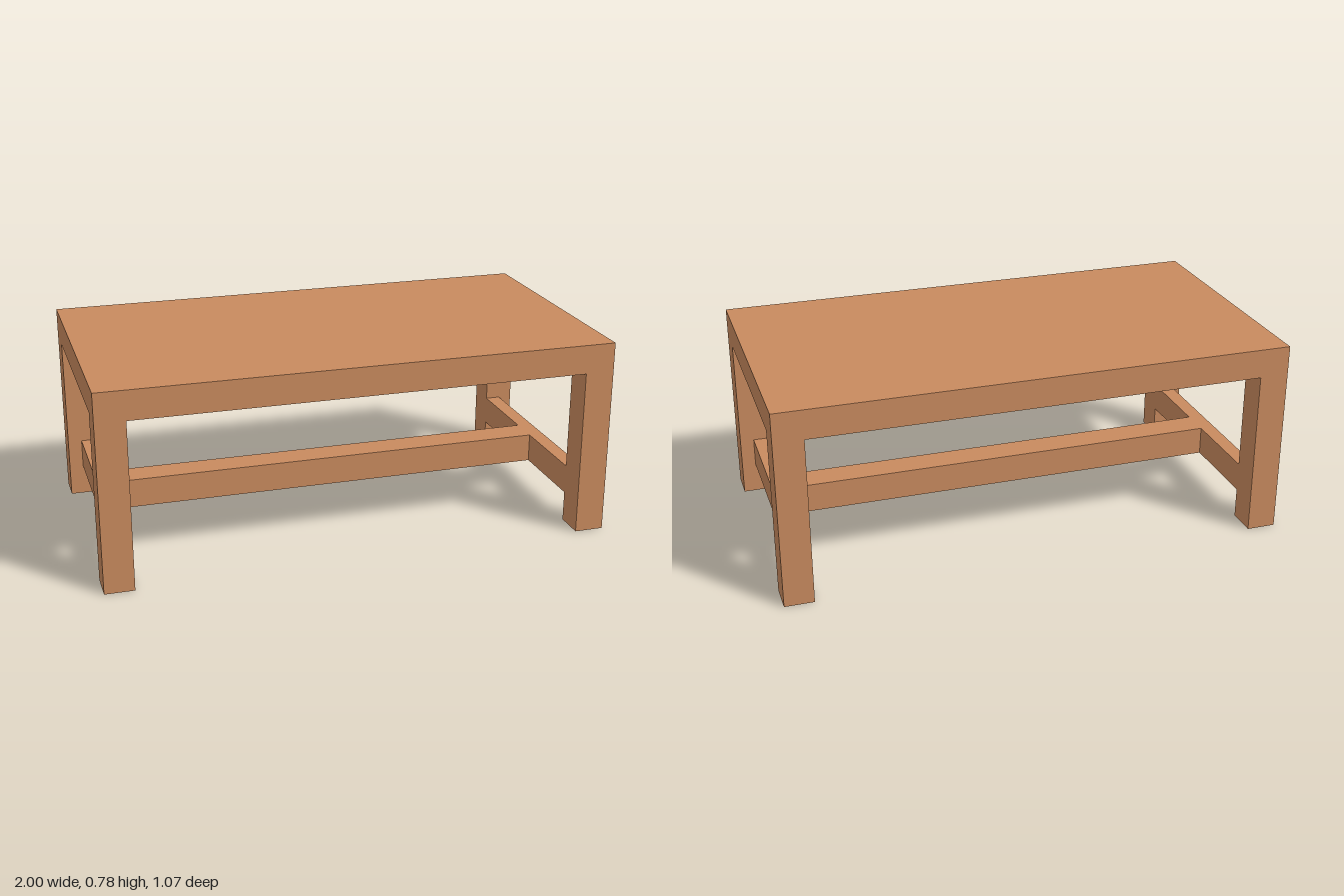
import * as THREE from 'three';

// Overall size and shared timber dimensions
const W = 2, D = 1.066, H = 0.78;
const LEG_X = 0.115, LEG_Z = 0.12, TOP = 0.115;
const RAIL_Y = 0.178, RAIL_H = 0.115, RAIL_T = 0.06;

export function createModel() {
  const table = new THREE.Group();
  table.name = 'table';
  const wood = new THREE.MeshStandardMaterial({ color: 0xc88a5e });

  const box = (name, w, h, d, x, y, z) => {
    const mesh = new THREE.Mesh(new THREE.BoxGeometry(w, h, d), wood);
    mesh.name = name;
    mesh.position.set(x, y, z);
    table.add(mesh);
  };

  // Solid slab top
  box('tabletop', W, TOP, D, 0, H - TOP / 2, 0);

  const innerX = W / 2 - LEG_X;
  const legH = H - TOP;
  for (const [side, sx] of [['left', 1], ['right', -1]]) {
    // Corner legs, flush with the edges of the top
    for (const [end, sz] of [['Front', 1], ['Back', -1]]) {
      box(side + end + 'Leg', LEG_X, legH, LEG_Z,
        sx * (W - LEG_X) / 2, legH / 2, sz * (D - LEG_Z) / 2);
    }
    // End stretcher, flush with the inner faces of the legs
    box(side + 'Stretcher', RAIL_T, RAIL_H, D - 2 * LEG_Z,
      sx * (innerX + RAIL_T / 2), RAIL_Y, 0);
  }

  // Long stretcher joining the two end stretchers
  box('centreStretcher', 2 * innerX, RAIL_H, LEG_Z, 0, RAIL_Y, 0);

  return table;
}
